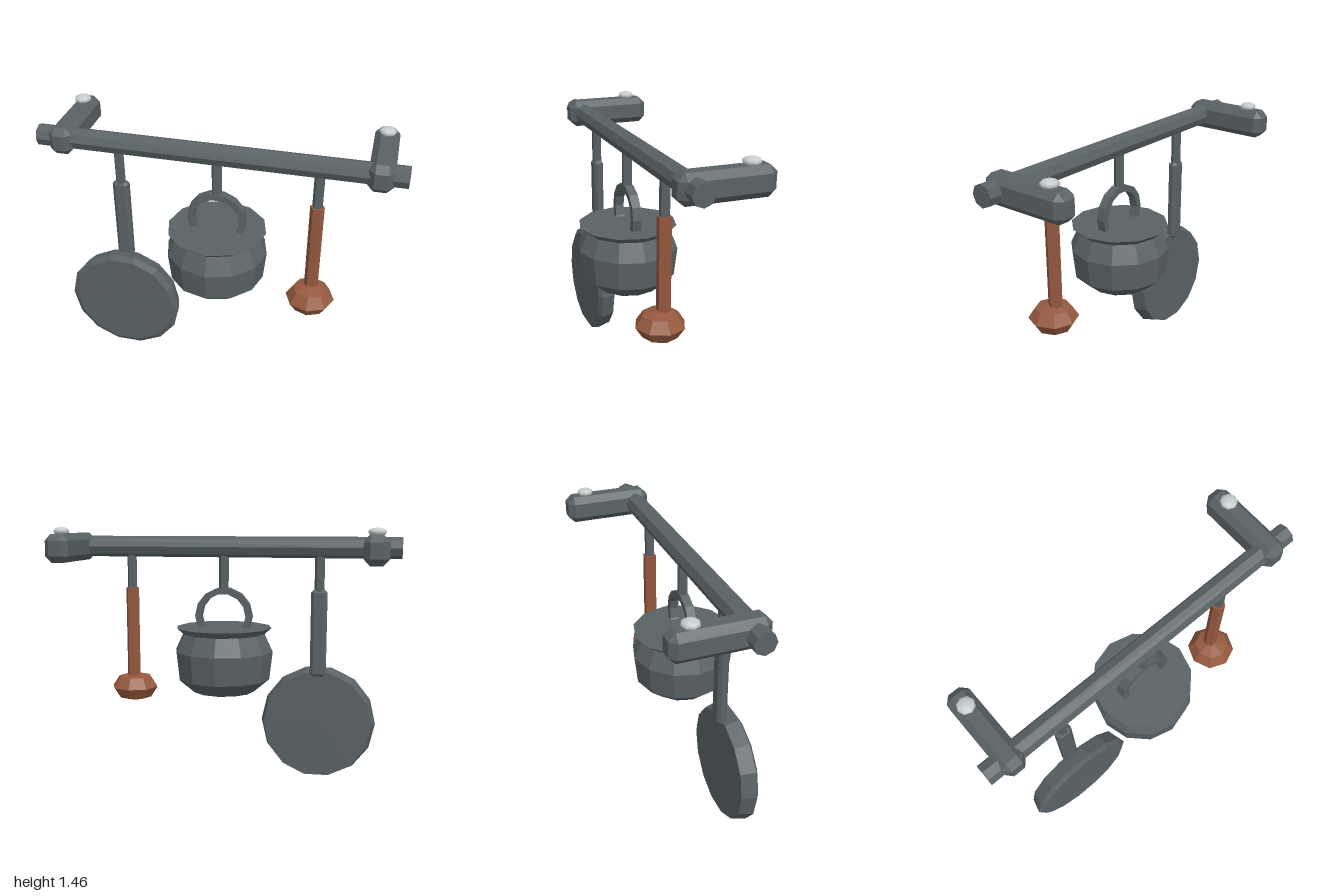
import * as THREE from 'three';
import { ConvexGeometry } from 'three/addons/geometries/ConvexGeometry.js';

const flat = (name, color) => {
  const m = new THREE.MeshStandardMaterial({ color, flatShading: true });
  m.name = name;
  return m;
};

// Box with every edge cut off; c holds the cut along each axis
function chamferedBox(w, h, d, c) {
  const half = [w / 2, h / 2, d / 2];
  const pts = [];
  for (const sx of [-1, 1]) for (const sy of [-1, 1]) for (const sz of [-1, 1]) {
    for (let full = 0; full < 3; full++) {
      const p = half.map((v, i) => (i === full ? v : v - c[i]));
      pts.push(new THREE.Vector3(p[0] * sx, p[1] * sy, p[2] * sz));
    }
  }
  return new ConvexGeometry(pts);
}

const lathe = (profile, sides) =>
  new THREE.LatheGeometry(profile.map(([r, y]) => new THREE.Vector2(r, y)), sides);

// Six-sided rod with two corners on the x axis
const hexRod = (r, h) => new THREE.CylinderGeometry(r, r, h, 6).rotateY(Math.PI / 2);

export function createModel() {
  const group = new THREE.Group();
  group.name = 'hangingPotRack';
  const iron = flat('iron', 0x5a6266);
  const copper = flat('copper', 0x96593f);
  const steel = flat('steel', 0xc6cdcd);
  steel.flatShading = false;

  const add = (name, geometry, material, x, y, z) => {
    const mesh = new THREE.Mesh(geometry, material);
    mesh.name = name;
    mesh.position.set(x, y, z);
    group.add(mesh);
    return mesh;
  };
  const railY = 1.356, railZ = 0.065;

  // Rail
  add('rail', new THREE.CylinderGeometry(0.06, 0.06, 2, 8).rotateZ(Math.PI / 2), iron, 0, railY, railZ);

  // Wall brackets with domed bolts
  for (const [side, s] of [['left', 1], ['right', -1]]) {
    add(side + 'Bracket', chamferedBox(0.134, 0.157, 0.503, [0.034, 0.036, 0.038]), iron, s * 0.86, 1.354, -0.103);
    add(side + 'Bolt', new THREE.SphereGeometry(0.048, 8, 6).scale(1, 0.48, 1), steel, s * 0.86, 1.447, -0.237);
  }

  // Hooks under the rail
  for (const [name, x] of [['panHook', -0.55], ['potHook', 0], ['ladleHook', 0.55]]) {
    add(name, hexRod(0.028, 0.26), iron, x, 1.215, railZ);
  }

  // Frying pan, hung with its face to the front
  add('panHandle', chamferedBox(0.091, 0.5, 0.058, [0.018, 0.016, 0.016]), iron, -0.55, 0.87, railZ);
  const pan = lathe([[0, 0], [0.312, 0], [0.334, 0.08], [0.3, 0.101], [0, 0.094]], 14);
  add('pan', pan.rotateY(Math.PI / 2).rotateX(Math.PI / 2), iron, -0.55, 0.333, 0.066);

  // Cooking pot with flat lid
  const pot = [[0, 0.515], [0.18, 0.515], [0.27, 0.592], [0.288, 0.755], [0.24, 0.858], [0.28, 0.893], [0, 0.893]];
  add('pot', lathe(pot, 12), iron, 0, 0, 0.063);

  // Ring handle of the pot
  const ring = lathe([[0.13, -0.025], [0.167, -0.025], [0.167, 0.025], [0.13, 0.025], [0.13, -0.025]], 14);
  add('potHandle', ring.rotateY(Math.PI / 2).rotateX(Math.PI / 2), iron, 0, 0.957, 0.065);

  // Ladle
  add('ladleHandle', hexRod(0.039, 0.56), copper, 0.55, 0.834, railZ);
  add('ladleHead', new THREE.SphereGeometry(0.139, 8, 4).scale(1, 0.63, 1), copper, 0.55, 0.516, 0.082);

  return group;
}
